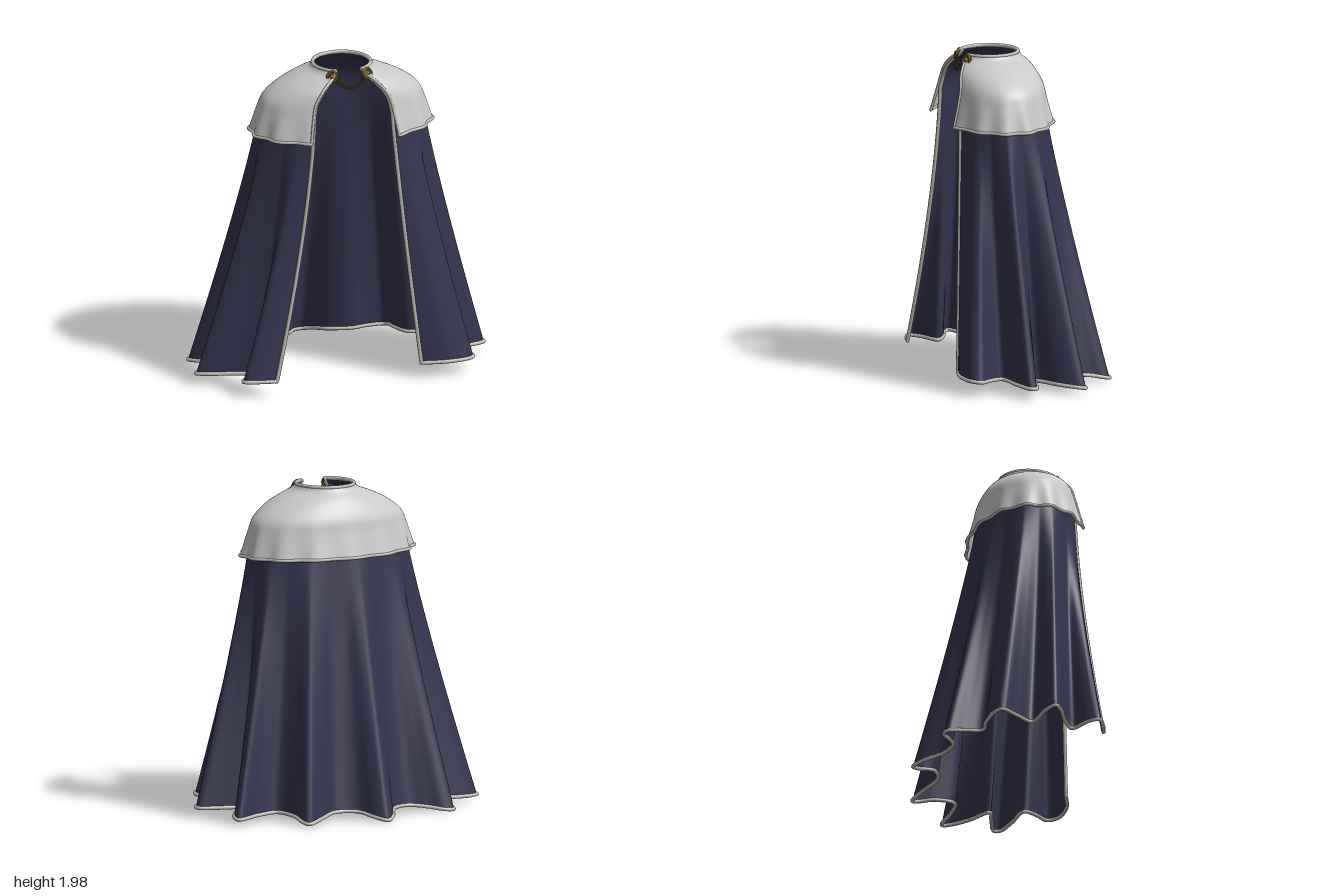
import * as THREE from 'three';

const navy = new THREE.MeshStandardMaterial({ color: 0x34344f, side: THREE.DoubleSide });
navy.name = 'navy cloth';
const white = new THREE.MeshStandardMaterial({ color: 0xc9c9c9, side: THREE.DoubleSide });
white.name = 'pale cloth';
const trim = new THREE.MeshStandardMaterial({ color: 0xbdbbb4 });
trim.name = 'trim cord';
const gold = new THREE.MeshStandardMaterial({ color: 0x6f5426 });
gold.name = 'old gold';

const V = (x, y, z) => new THREE.Vector3(x, y, z);
const lerp = THREE.MathUtils.lerp;

// Shoulder rings from neck to capelet hem: y, x radius, z centre, z radius
const RINGS = [
  [1.985, 0.18, 0.17, 0.18], [1.96, 0.2, 0.17, 0.195], [1.92, 0.3, 0.165, 0.235],
  [1.87, 0.4, 0.16, 0.268], [1.8, 0.485, 0.15, 0.293], [1.72, 0.518, 0.15, 0.31], [1.58, 0.558, 0.15, 0.345],
];
const ringCurve = new THREE.CatmullRomCurve3(RINGS.map(([y, rx, , rz]) => V(rx, y, rz)));
const zCurve = new THREE.CatmullRomCurve3(RINGS.map((r, i) => V(i, r[2], 0)));

// Point on the shoulders; u runs from the right front edge round the back, s is the ring (0 to 6)
function shoulder(u, s, inset = 0) {
  const r = ringCurve.getPoint(s / 6), cz = zCurve.getPoint(s / 6).y;
  const a = THREE.MathUtils.degToRad(lerp(119, 421, u));
  return V((r.x - inset) * Math.cos(a), r.y - inset * 0.3, cz + (r.z - inset) * Math.sin(a));
}

// Folded hem outline, x and z pairs
const HEM = [
  [-0.52, 0.54], [-0.62, 0.52], [-0.71, 0.48], [-0.68, 0.42], [-0.58, 0.34], [-0.68, 0.28], [-0.86, 0.22],
  [-0.92, 0.18], [-0.84, 0.13], [-0.68, 0.08], [-0.77, -0.03], [-0.87, -0.14], [-0.82, -0.175], [-0.66, -0.2],
  [-0.53, -0.2], [-0.53, -0.3], [-0.56, -0.42], [-0.5, -0.43], [-0.4, -0.38], [-0.29, -0.34], [-0.17, -0.38],
  [-0.1, -0.49], [-0.04, -0.54], [0.02, -0.49], [0.08, -0.39], [0.22, -0.35], [0.34, -0.41], [0.46, -0.46],
  [0.48, -0.42], [0.48, -0.32], [0.53, -0.19], [0.66, -0.19], [0.81, -0.22], [0.81, -0.17], [0.75, -0.07],
  [0.63, 0.04], [0.74, 0.07], [0.9, 0.115], [0.9, 0.15], [0.78, 0.2], [0.62, 0.25], [0.68, 0.34],
  [0.75, 0.41], [0.72, 0.47], [0.58, 0.5], [0.41, 0.47],
];
const hemCurve = new THREE.CatmullRomCurve3(HEM.map(([x, z]) => {
  const e = Math.hypot(x / 0.93, (z - 0.1) / 0.65);
  return V(x, 0.073 + 0.085 * z + Math.max(0, -z) * 0.3 * (1 - e), z);
}));
hemCurve.arcLengthDivisions = 1000;

// Cloak: first fifth of v lies on the shoulders, the rest falls to the hem
const SPLIT = 0.25;
function cloak(u, v) {
  if (v < SPLIT) return shoulder(u, 5 * v / SPLIT, 0.014);
  const top = shoulder(u, 5, 0.014), low = hemCurve.getPointAt(u);
  const t = (v - SPLIT) / (1 - SPLIT);
  const k = Math.pow(t, 1.13 + 0.35 * Math.exp(-u * 14));
  return V(lerp(top.x, low.x, k), lerp(top.y, low.y, t), lerp(top.z, low.z, k));
}

// Capelet: soft ripples grow toward its hem
function capelet(u, v) {
  const p = shoulder(u, 6 * v);
  const w = Math.max(0, v - 0.55) / 0.45;
  const k = 1 + 0.022 * w * w * Math.cos(u * Math.PI * 24);
  return V(p.x * k, p.y, 0.15 + (p.z - 0.15) * k);
}

// Grid surface over u and v
function sheet(name, fn, nu, nv, material) {
  const pos = [], idx = [];
  for (let j = 0; j <= nv; j++)
    for (let i = 0; i <= nu; i++) pos.push(...fn(i / nu, j / nv).toArray());
  for (let j = 0; j < nv; j++)
    for (let i = 0; i < nu; i++) {
      const a = j * (nu + 1) + i, b = a + nu + 1;
      idx.push(a, a + 1, b, a + 1, b + 1, b);
    }
  const g = new THREE.BufferGeometry();
  g.setAttribute('position', new THREE.Float32BufferAttribute(pos, 3));
  g.setIndex(idx);
  g.computeVertexNormals();
  const m = new THREE.Mesh(g, material);
  m.name = name;
  return m;
}

// Cord following an edge, with rounded ends
function cord(name, fn, n, radius) {
  const pts = Array.from({ length: n + 1 }, (_, i) => fn(i / n));
  const group = new THREE.Group();
  group.name = name;
  group.add(new THREE.Mesh(new THREE.TubeGeometry(new THREE.CatmullRomCurve3(pts), n * 2, radius, 8), trim));
  for (const p of [pts[0], pts[n]]) {
    const end = new THREE.Mesh(new THREE.SphereGeometry(radius, 8, 6), trim);
    end.position.copy(p);
    group.add(end);
  }
  return group;
}

// Round clasp with a raised rim and a boss
function clasp(side) {
  const g = new THREE.Group();
  g.name = side > 0 ? 'leftClasp' : 'rightClasp';
  const disc = new THREE.Mesh(new THREE.CylinderGeometry(0.034, 0.036, 0.014, 24), gold);
  disc.rotation.x = Math.PI / 2;
  const rim = new THREE.Mesh(new THREE.TorusGeometry(0.031, 0.007, 8, 24), gold);
  rim.position.z = 0.006;
  const boss = new THREE.Mesh(new THREE.SphereGeometry(0.016, 14, 10), gold);
  boss.position.z = 0.008;
  g.add(disc, rim, boss);
  g.position.set(side * 0.108, 1.953, 0.335);
  g.rotation.set(-0.35, side * 0.45, 0, 'YXZ');
  return g;
}

// Sagging chain of alternating links
function chain() {
  const g = new THREE.Group();
  g.name = 'chain';
  const path = new THREE.QuadraticBezierCurve3(V(-0.092, 1.935, 0.345), V(0, 1.835, 0.405), V(0.092, 1.935, 0.345));
  const n = 11;
  for (let i = 0; i < n; i++) {
    const t = (i + 0.5) / n;
    const link = new THREE.Mesh(new THREE.TorusGeometry(0.0105, 0.0033, 6, 14), gold);
    link.scale.x = 1.25;
    const turn = new THREE.Quaternion().setFromAxisAngle(V(1, 0, 0), i % 2 ? Math.PI / 2 : 0);
    link.quaternion.setFromUnitVectors(V(1, 0, 0), path.getTangentAt(t)).multiply(turn);
    link.position.copy(path.getPointAt(t));
    g.add(link);
  }
  return g;
}

export function createModel() {
  const model = new THREE.Group();
  model.name = 'cloak';
  model.add(
    sheet('cloakBody', cloak, 320, 48, navy),
    sheet('capelet', capelet, 160, 30, white),
    cord('cloakHemTrim', (u) => cloak(u, 1), 260, 0.012),
    cord('capeletHemTrim', (u) => capelet(u, 1), 120, 0.01),
    cord('neckTrim', (u) => shoulder(u, 0, 0.006), 60, 0.012),
  );
  for (const [u, side] of [[0, 'right'], [1, 'left']]) {
    model.add(
      cord(side + 'FrontTrim', (v) => cloak(u, v), 40, 0.012),
      cord(side + 'CapeletTrim', (v) => capelet(u, v), 20, 0.009),
    );
  }
  model.add(clasp(1), clasp(-1), chain());
  return model;
}
